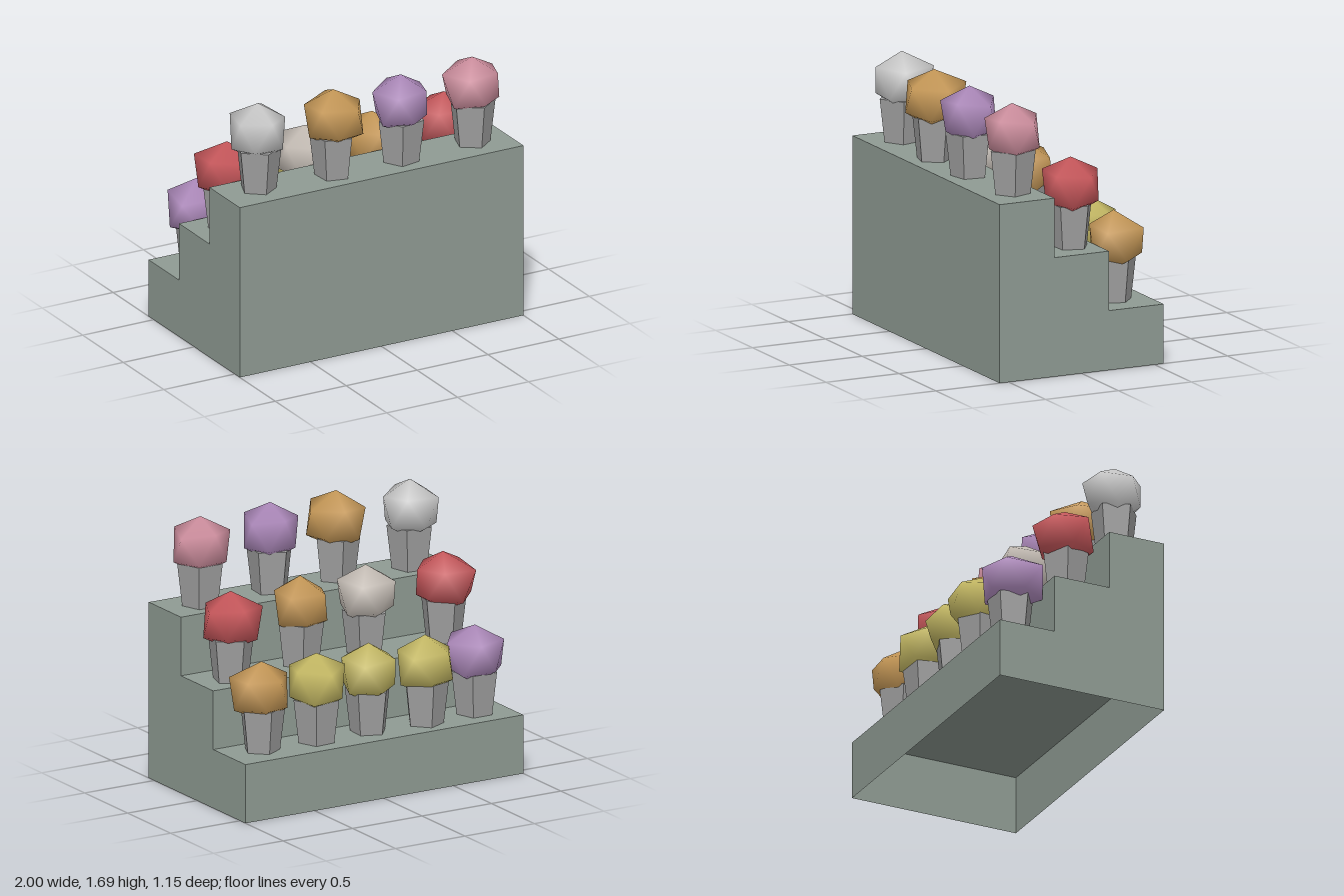
import * as THREE from 'three';

const STEP = 0.375;
const mat = (color, extra = {}) => new THREE.MeshStandardMaterial({ color, ...extra });
const RED = mat(0xc9585c), ORANGE = mat(0xc89a58), YELLOW = mat(0xc8bc66), PURPLE = mat(0xae8abc);
const PINK = mat(0xd090a0), PALE = mat(0xc8ccc8), CREAM = mat(0xc8c0b8);
const STAND = mat(0x8f9b93, { side: THREE.DoubleSide });
const POT = mat(0xa0a0a0, { flatShading: true });

// Each plant: colour, x, z, angle of its first corner, five corner radii in hundredths.
const rows = [
  [ // low step at the back
    [PURPLE, -0.77, -0.37, 0, [20, 19, 22, 18, 18]],
    [YELLOW, -0.4, -0.39, -40, [22, 17, 18, 18, 18]],
    [YELLOW, -0.015, -0.355, 20, [17, 19, 17, 18, 20]],
    [YELLOW, 0.37, -0.37, -18, [18, 18, 18, 18, 18]],
    [ORANGE, 0.75, -0.345, -35, [21, 20, 15, 18, 16]],
  ],
  [ // middle step
    [RED, -0.77, 0, 10, [17, 19, 18, 21, 20]],
    [CREAM, -0.22, 0.01, 20, [18, 18, 17, 20, 17]],
    [ORANGE, 0.245, 0.02, -40, [18, 16, 19, 16, 19]],
    [RED, 0.78, -0.035, -15, [19, 17, 18, 20, 18]],
  ],
  [ // high step at the front
    [PALE, -0.75, 0.35, 18, [17, 18, 16, 19, 20]],
    [ORANGE, -0.24, 0.385, -2, [19, 20, 18, 18, 20]],
    [PURPLE, 0.237, 0.385, -20, [18, 17, 18, 18, 17]],
    [PINK, 0.757, 0.355, -20, [19, 17, 17, 19, 17]],
  ],
];

// Hollow step, open underneath
function makeStep(depth) {
  const g = new THREE.BoxGeometry(2, STEP, depth);
  const idx = Array.from(g.index.array);
  idx.splice(18, 6);
  g.setIndex(idx);
  g.clearGroups();
  return new THREE.Mesh(g, STAND);
}

// Uneven faceted crown: a tip, two staggered rings of five, a foot inside the pot
function crownGeometry(phase, radii) {
  const pos = [0, 0.29, 0];
  for (let ring = 0; ring < 2; ring++) {
    for (let i = 0; i < 5; i++) {
      const a = THREE.MathUtils.degToRad(phase + 72 * (i + ring / 2));
      const r = (ring ? (radii[i] + radii[(i + 1) % 5]) * 0.475 : radii[i]) / 100;
      const wobble = 0.012 * Math.sin(i * 2.3 + phase + ring);
      pos.push(r * Math.cos(a), (ring ? 0.01 : 0.195) + wobble, r * Math.sin(a));
    }
  }
  pos.push(0, -0.08, 0);
  const idx = [];
  for (let i = 0; i < 5; i++) {
    const a = 1 + i, b = 1 + (i + 1) % 5, c = 6 + i, d = 6 + (i + 1) % 5;
    idx.push(0, b, a, a, b, c, b, d, c, c, d, 11);
  }
  const g = new THREE.BufferGeometry();
  g.setAttribute('position', new THREE.Float32BufferAttribute(pos, 3));
  g.setIndex(idx);
  g.computeVertexNormals();
  return g;
}

export function createModel() {
  const model = new THREE.Group();
  model.name = 'plantStand';
  const potGeometry = new THREE.CylinderGeometry(0.147, 0.115, 0.275, 5);

  rows.forEach((row, level) => {
    // Step, flush with the front
    const depth = 1.125 - level * STEP;
    const step = makeStep(depth);
    step.name = 'step';
    step.position.set(0, STEP * (level + 0.5), 0.5625 - depth / 2);
    model.add(step);

    // Potted plants standing on it
    row.forEach(([color, x, z, phase, radii], i) => {
      const plant = new THREE.Group();
      plant.name = 'pottedPlant';
      plant.position.set(x, STEP * (level + 1), z);

      const pot = new THREE.Mesh(potGeometry, POT);
      pot.name = 'pot';
      pot.position.y = 0.1375;
      pot.rotation.y = i * 1.7 + level * 0.6;

      const crown = new THREE.Mesh(crownGeometry(phase, radii), color);
      crown.name = 'crown';
      crown.position.y = 0.275;

      plant.add(pot, crown);
      model.add(plant);
    });
  });
  return model;
}
